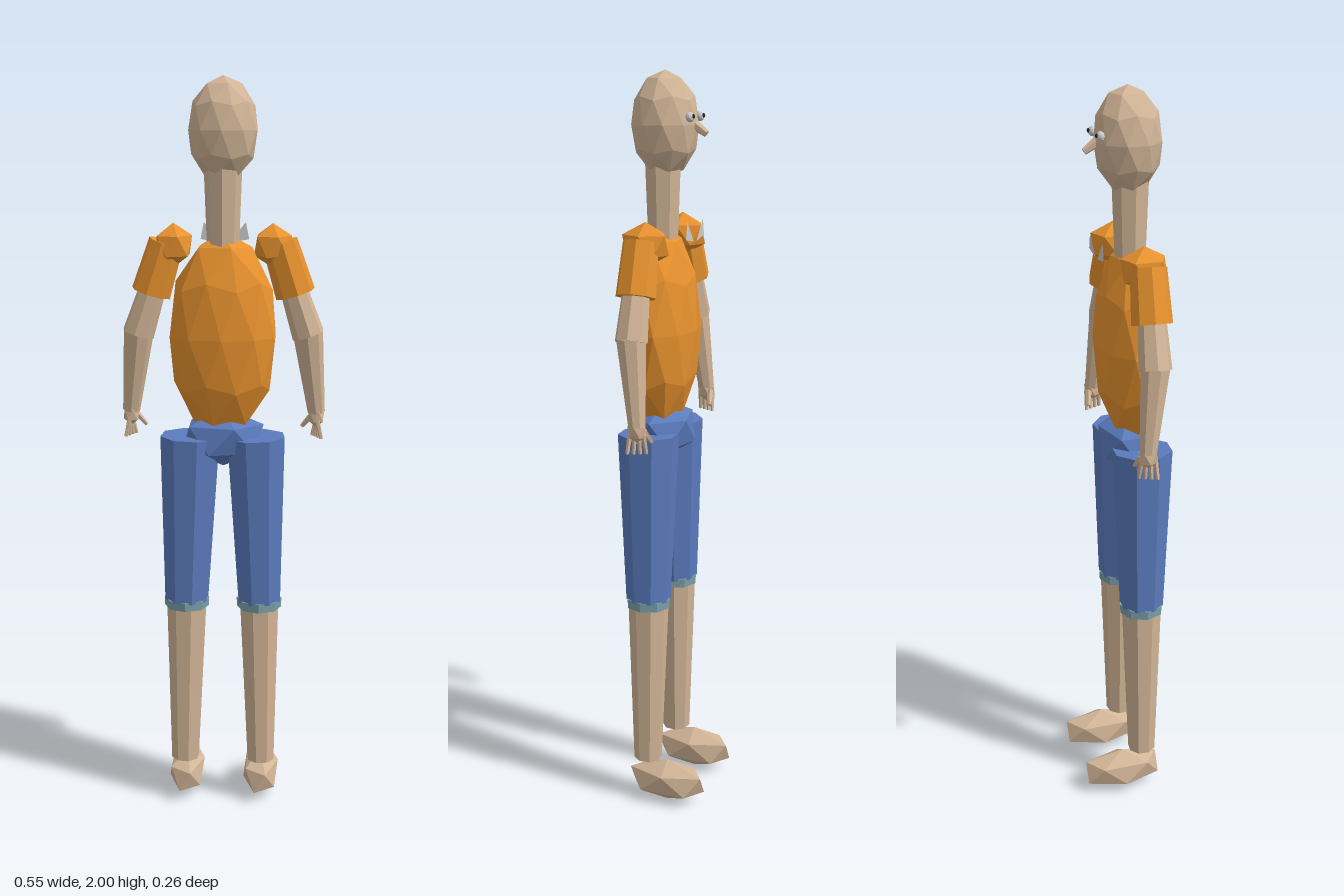
import * as THREE from 'three';

const mat = (color, side = THREE.FrontSide) =>
  new THREE.MeshStandardMaterial({ color, flatShading: true, side });

export function createModel() {
  const model = new THREE.Group();
  model.name = 'figure';
  const skin = mat(0xd2b597), orange = mat(0xe8922e), blue = mat(0x5b7bbd);
  const teal = mat(0x7aa0a8), white = mat(0xe8e8e8), black = mat(0x222222);
  const grey = mat(0xcccccc, THREE.DoubleSide);

  function add(name, geometry, material) {
    const mesh = new THREE.Mesh(geometry, material);
    mesh.name = name;
    model.add(mesh);
    return mesh;
  }

  // Faceted ball with a corner pointing up, stretched to the given radii
  function ball(name, material, [x, y, z], [rx, ry, rz], detail = 0) {
    const g = new THREE.IcosahedronGeometry(1, detail);
    g.rotateX(-Math.atan((1 + Math.sqrt(5)) / 2 === 0 ? 0 : (1 + Math.sqrt(5)) / 2));
    g.rotateY(Math.PI / 2);
    g.scale(rx, ry, rz);
    g.translate(x, y, z);
    return add(name, g, material);
  }

  // Tapered faceted limb between two points
  function limb(name, material, from, to, r0, r1, sides = 8) {
    const a = new THREE.Vector3(...from), b = new THREE.Vector3(...to);
    const dir = b.clone().sub(a);
    const g = new THREE.CylinderGeometry(r1, r0, dir.length(), sides);
    g.applyQuaternion(new THREE.Quaternion().setFromUnitVectors(
      new THREE.Vector3(0, 1, 0), dir.normalize()));
    const mid = a.add(b).multiplyScalar(0.5);
    g.translate(mid.x, mid.y, mid.z);
    return add(name, g, material);
  }

  // Head, neck and trunk
  ball('head', skin, [0, 1.865, 0.023], [0.092, 0.135, 0.089], 1);
  limb('neck', skin, [0, 1.57, 0.03], [0, 1.78, 0.03], 0.042, 0.05);
  ball('torso', orange, [0, 1.335, 0.032], [0.146, 0.275, 0.097], 1);
  ball('pelvis', blue, [0, 1.06, 0.027], [0.122, 0.08, 0.09]);
  limb('nose', skin, [0, 1.87, -0.05], [0, 1.843, -0.09], 0.015, 0.009, 6);

  for (const s of [1, -1]) {
    const side = s > 0 ? 'left' : 'right';
    const p = (x, y, z) => [s * x, y, z];

    // Eye
    ball(side + 'Eye', white, p(0.036, 1.885, -0.058), [0.013, 0.013, 0.011], 1);
    ball(side + 'Pupil', black, p(0.036, 1.887, -0.067), [0.006, 0.006, 0.005], 1);

    // Flat collar point
    const tab = new THREE.Shape([
      new THREE.Vector2(s * 0.01, 1.57),
      new THREE.Vector2(s * 0.065, 1.58),
      new THREE.Vector2(s * 0.056, 1.625),
    ]);
    add(side + 'Collar', new THREE.ShapeGeometry(tab).translate(0, 0, -0.06), grey);

    // Shoulder, sleeve and arm
    ball(side + 'Shoulder', orange, p(0.13, 1.572, 0.025), [0.055, 0.058, 0.068]);
    limb(side + 'Sleeve', orange, p(0.148, 1.58, 0.03), p(0.19, 1.447, 0.027), 0.047, 0.053);
    limb(side + 'UpperArm', skin, p(0.185, 1.46, 0.028), p(0.225, 1.338, 0.025), 0.036, 0.043);
    limb(side + 'Forearm', skin, p(0.224, 1.345, 0.025), p(0.25, 1.125, 0), 0.04, 0.023);

    // Hand with four fingers and a thumb
    ball(side + 'Palm', skin, p(0.25, 1.115, 0), [0.024, 0.032, 0.028]);
    for (let i = 0; i < 4; i++) {
      const z = 0.018 - i * 0.012;
      limb(side + 'Finger' + (i + 1), skin, p(0.252, 1.11, z),
        p(0.264 - i * 0.008, 1.056, z * 1.2), 0.007, 0.005, 5);
    }
    limb(side + 'Thumb', skin, p(0.24, 1.115, -0.015), p(0.212, 1.08, -0.024), 0.009, 0.006, 5);

    // Trouser leg with cuff, shin and foot
    limb(side + 'TrouserLeg', blue, p(0.088, 1.065, 0.037), p(0.1, 0.6, 0.034), 0.082, 0.061);
    limb(side + 'Cuff', teal, p(0.1, 0.605, 0.034), p(0.1, 0.58, 0.034), 0.062, 0.061);
    limb(side + 'Shin', skin, p(0.1, 0.6, 0.034), p(0.107, 0.122, 0.035), 0.056, 0.039);
    ball(side + 'Foot', skin, p(0.106, 0.061, -0.023), [0.056, 0.061, 0.124]);
  }
  return model;
}
